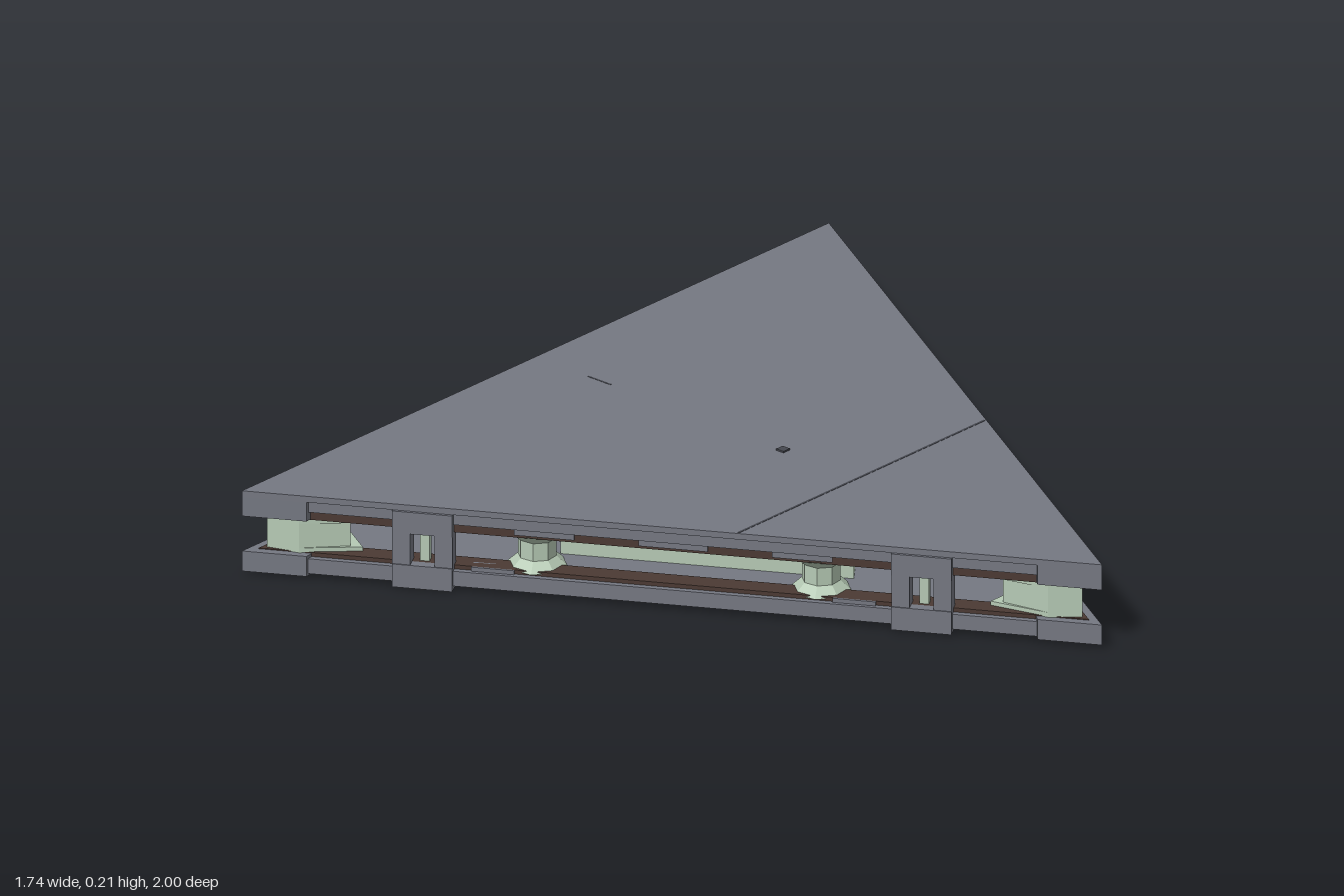
import * as THREE from 'three';

const IN = 0.577; // distance from the centre to each side
const TIP = 2 * IN; // distance from the centre to each corner
const mat = (name, color) => {
  const m = new THREE.MeshStandardMaterial({ color, flatShading: true });
  m.name = name;
  return m;
};
const vec = (pts) => pts.map(([x, y]) => new THREE.Vector2(x, y));

export function createModel() {
  const grey = mat('slate grey', 0x757882);
  const dark = mat('dark grey', 0x45474e);
  const brown = mat('dark brown', 0x4b3a33);
  const green = mat('pale green', 0xb6cab5);

  const model = new THREE.Group();
  model.name = 'triangularPlatform';
  const body = new THREE.Group();
  body.name = 'body';
  body.position.x = -IN / 2;
  model.add(body);

  const add = (parent, name, geo, material) => {
    const m = new THREE.Mesh(geo, material);
    m.name = name;
    parent.add(m);
    return m;
  };
  const box = (parent, name, material, w, y0, y1, d, x, z) => {
    const m = add(parent, name, new THREE.BoxGeometry(w, y1 - y0, d), material);
    m.position.set(x, (y0 + y1) / 2, z);
  };
  // Equilateral triangle, pulled in from each side by the inset
  const tri = (inset) => vec([0, 1, 2].map((k) => {
    const a = k * Math.PI * 2 / 3, r = 2 * (IN - inset);
    return [r * Math.cos(a), r * Math.sin(a)];
  }));
  // Flat slab between two heights, with optional holes
  const slab = (points, y0, y1, holes = []) => {
    const s = new THREE.Shape(points);
    holes.forEach((h) => s.holes.push(new THREE.Path(h)));
    return new THREE.ExtrudeGeometry(s, { depth: y1 - y0, bevelEnabled: false })
      .rotateX(-Math.PI / 2).translate(0, y0, 0);
  };

  // Window outlines: one broad triangle and a mirrored pair of slim ones
  const broad = [[-0.39, -0.45], [-0.36, -0.47], [0.06, -0.03], [0.06, 0.03], [-0.36, 0.47], [-0.39, 0.45]];
  const slim = [[0.55, 0.172], [0.52, 0.135], [0.35, 0.135], [-0.06, 0.49], [-0.04, 0.513]];
  const outlines = [broad, slim, slim.map(([x, y]) => [x, -y]).reverse()];
  // Outline scaled about its own middle
  const scaled = (pts, s) => {
    const cx = pts.reduce((t, p) => t + p[0], 0) / pts.length;
    const cy = pts.reduce((t, p) => t + p[1], 0) / pts.length;
    return vec(pts.map(([x, y]) => [cx + (x - cx) * s, cy + (y - cy) * s]));
  };

  // Upper deck and its stepped rim
  add(body, 'topPlate', slab(tri(0), 0.193, 0.208), grey);
  add(body, 'upperRim', slab(tri(0.008), 0.165, 0.193), grey);
  add(body, 'upperTrim', slab(tri(0.016), 0.143, 0.165, [tri(0.11)]), brown);

  // Lower frame with three windows
  add(body, 'lowerRim', slab(tri(0.006), 0.013, 0.05, [tri(0.05)]), grey);
  add(body, 'lowerRimStep', slab(tri(0.05), 0.018, 0.05, [tri(0.085)]), grey);
  add(body, 'lowerPlate', slab(tri(0.085), 0.026, 0.05, outlines.map((o) => scaled(o, 1))), grey);
  add(body, 'lowerTrim', slab(tri(0.02), 0.05, 0.06, [tri(0.07)]), brown);
  outlines.forEach((o, i) => {
    const hole = [scaled(o, 0.9)];
    add(body, 'windowLining', slab(scaled(o, 1), 0.022, 0.045, hole), brown);
    add(body, 'windowEdge', slab(scaled(o, 1), 0.045, 0.062, hole), green);
    add(body, 'windowPanel', slab(scaled(o, 1), 0.062, i ? 0.1 : 0.08), green);
  });

  // Waisted pillar standing beside each side
  const pillar = new THREE.LatheGeometry(vec([
    [0.07, 0.055], [0.045, 0.078], [0.045, 0.122], [0.07, 0.146],
  ]), 8);

  // Corner outlines
  const block = vec([[TIP, 0], [TIP - 0.13, 0.075], [TIP - 0.18, 0.035], [TIP - 0.18, -0.035], [TIP - 0.13, -0.075]]);
  const wedge = (back, w) => vec([
    [TIP - 0.06, 0], [TIP - 0.12, 0.05], [TIP - back, w], [TIP - back, -w], [TIP - 0.12, -0.05],
  ]);

  for (let k = 0; k < 3; k++) {
    // One side: local x runs along it, local z points outward
    const side = new THREE.Group();
    side.name = 'side';
    side.rotation.y = Math.PI / 6 + k * Math.PI * 2 / 3;
    body.add(side);

    for (const m of [-1, 1]) {
      add(side, 'sidePillar', pillar, green).position.set(m * 0.33, 0, IN - 0.08);

      // Clip bracket joining both rims
      const clip = new THREE.Group();
      clip.name = 'clip';
      clip.position.set(m * 0.58, 0, IN - 0.018);
      side.add(clip);
      box(clip, 'clipTop', grey, 0.14, 0.138, 0.192, 0.045, 0, 0);
      box(clip, 'clipBottom', grey, 0.14, 0.003, 0.06, 0.045, 0, 0);
      for (const e of [-1, 1]) {
        box(clip, 'clipPost', grey, 0.042, 0.06, 0.138, 0.04, e * 0.049, 0);
      }
      box(clip, 'clipPin', green, 0.022, 0.06, 0.14, 0.02, 0, -0.02);
      box(clip, 'clipFoot', dark, 0.09, 0.0, 0.006, 0.035, 0, -0.01);

      box(side, 'rimPatch', grey, 0.14, 0.15, 0.165, 0.03, m * 0.3, IN - 0.027);
      box(side, 'lowerPatch', grey, 0.1, 0.05, 0.06, 0.03, m * 0.42, IN - 0.03);
    }
    box(side, 'rimPatch', grey, 0.16, 0.15, 0.165, 0.03, 0, IN - 0.027);

    // Corner blocks and the flared wedge between them
    const corner = new THREE.Group();
    corner.name = 'corner';
    corner.rotation.y = k * Math.PI * 2 / 3;
    body.add(corner);
    add(corner, 'upperCornerBlock', slab(block, 0.145, 0.193), grey);
    add(corner, 'lowerCornerBlock', slab(block, 0.008, 0.058), grey);
    add(corner, 'cornerPillar', slab(wedge(0.235, 0.075), 0.07, 0.13), green);
    add(corner, 'cornerPillarFoot', slab(wedge(0.26, 0.09), 0.05, 0.07), green);
    add(corner, 'cornerPillarHead', slab(wedge(0.26, 0.09), 0.13, 0.146), green);
  }

  // Small fittings on the deck
  box(model, 'deckSeam', dark, 0.006, 0.207, 0.2085, 0.84, 0.13, 0);
  box(model, 'deckStud', dark, 0.022, 0.207, 0.212, 0.022, -0.1, 0.01);
  box(model, 'deckMark', dark, 0.07, 0.207, 0.2085, 0.005, -0.67, 0);

  return model;
}
